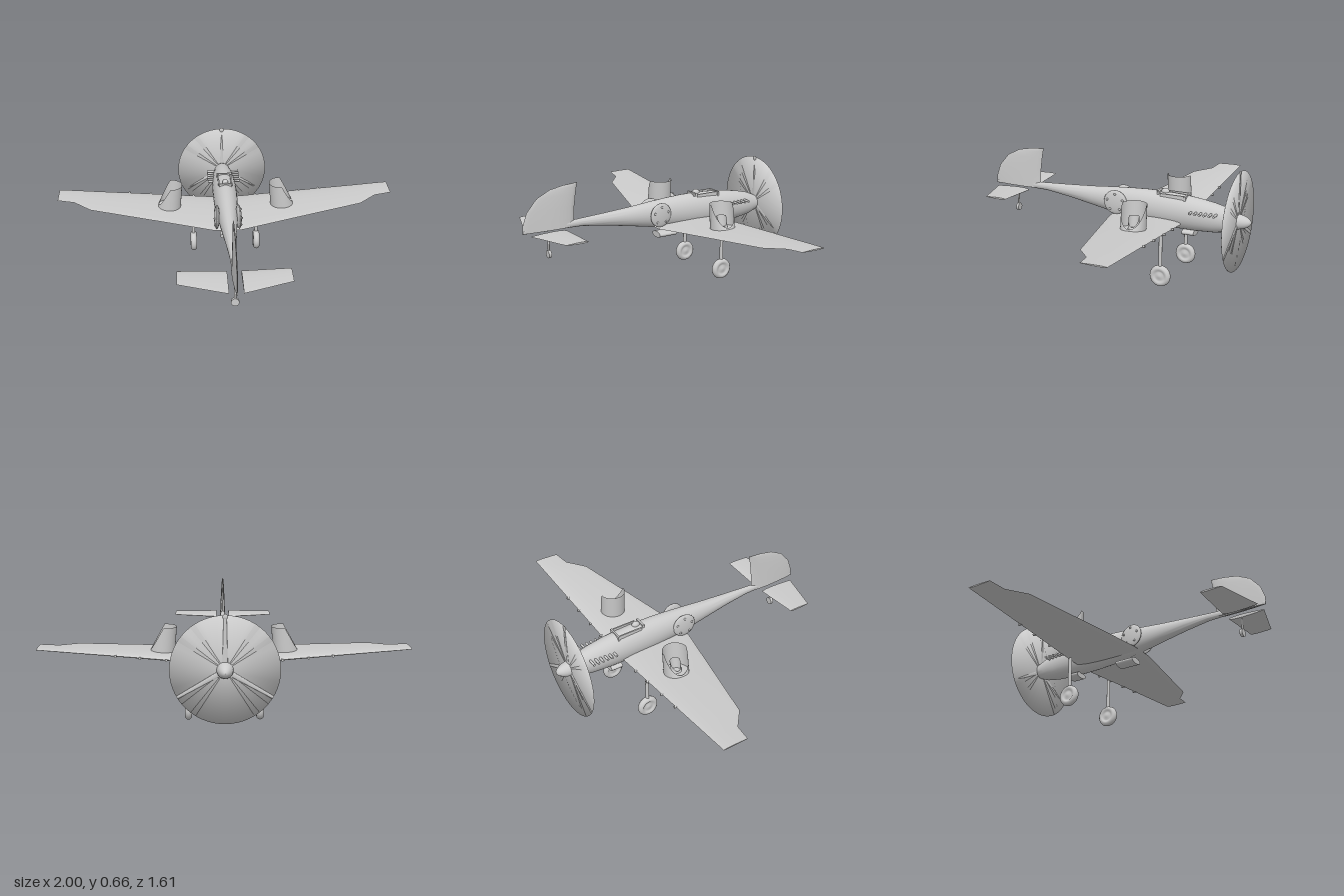
import * as THREE from 'three';
import { toCreasedNormals } from 'three/addons/utils/BufferGeometryUtils.js';

const material = new THREE.MeshStandardMaterial({ color: 0xcccccc });
const shellMaterial = new THREE.MeshStandardMaterial({ color: 0xcccccc, side: THREE.DoubleSide });

// Skin a row of equal closed rings and cap both ends.
function loft(rings) {
  const n = rings[0].length, pos = [], idx = [];
  rings.forEach(r => r.forEach(p => pos.push(...p)));
  for (let i = 0; i < rings.length - 1; i++) {
    for (let j = 0; j < n; j++) {
      const k = (j + 1) % n, a = i * n + j, b = i * n + k;
      idx.push(a, b, a + n, b, b + n, a + n);
    }
  }
  const last = (rings.length - 1) * n;
  for (let j = 1; j < n - 1; j++) {
    idx.push(0, j + 1, j, last, last + j, last + j + 1);
  }
  const g = new THREE.BufferGeometry();
  g.setAttribute('position', new THREE.Float32BufferAttribute(pos, 3));
  g.setIndex(idx);
  return toCreasedNormals(g, 0.6);
}

// Ring of (cos, sin) pairs passed through a placing rule.
const ring = (n, place) => Array.from({ length: n }, (_, i) => {
  const a = i / n * Math.PI * 2;
  return place(Math.cos(a), Math.sin(a));
});

// Streamlined section: chord position from s, half thickness from c.
const foil = (s, c) => {
  const u = (1 + s) / 2;
  return [c * (1.25 - 0.75 * u), u];
};

// Horizontal surface from stations [x, y, leading z, trailing z, thickness].
const wingGeometry = stations => loft(stations.map(([x, y, z0, z1, t]) =>
  ring(20, (c, s) => {
    const [h, u] = foil(s, c);
    return [x, y + h * t / 2, z0 + (z1 - z0) * u];
  })));

const lathe = (profile, n) => new THREE.LatheGeometry(profile.map(p => new THREE.Vector2(...p)), n);

export function createModel() {
  const model = new THREE.Group();
  const add = (name, geometry, x = 0, y = 0, z = 0, mat = material) => {
    const mesh = new THREE.Mesh(geometry, mat);
    mesh.name = name;
    mesh.position.set(x, y, z);
    model.add(mesh);
    return mesh;
  };

  // Fuselage stations: z, bottom, top, half width
  const body = [
    [-0.735, 0.325, 0.412, 0.043], [-0.68, 0.303, 0.437, 0.053], [-0.6, 0.29, 0.457, 0.063],
    [-0.5, 0.285, 0.473, 0.07], [-0.4, 0.285, 0.482, 0.073], [-0.3, 0.288, 0.487, 0.072],
    [-0.2, 0.295, 0.487, 0.069], [-0.1, 0.308, 0.482, 0.063], [0, 0.323, 0.475, 0.055],
    [0.15, 0.352, 0.462, 0.042], [0.3, 0.379, 0.453, 0.029], [0.45, 0.4, 0.445, 0.018],
    [0.6, 0.403, 0.437, 0.011], [0.8, 0.405, 0.425, 0.004],
  ];
  add('fuselage', loft(body.map(([z, b, t, w]) =>
    ring(28, (c, s) => [w * c, (b + t) / 2 + (t - b) / 2 * s, z]))));

  // Spinner, softly shaded propeller disc and three blades
  const spinner = [[0.043, 0], [0.039, 0.022], [0.031, 0.044], [0.02, 0.062], [0.01, 0.071], [0, 0.074]];
  add('spinner', lathe(spinner, 28), 0, 0.37, -0.735).rotation.x = -Math.PI / 2;
  const disc = toCreasedNormals(new THREE.CylinderGeometry(0.28, 0.28, 0.003, 56), Math.PI);
  add('propellerDisc', disc, 0, 0.37, -0.735).rotation.x = Math.PI / 2;
  for (let i = 0; i < 3; i++) {
    const blade = new THREE.CylinderGeometry(0.007, 0.014, 0.28, 12);
    blade.scale(1.1, 1, 0.32).translate(0, 0.14, 0);
    add('propellerBlade', blade, 0, 0.37, -0.736).rotation.z = i * Math.PI * 2 / 3;
  }
  add('bladeTip', new THREE.SphereGeometry(0.014, 14, 10), 0, 0.642, -0.735).scale.z = 0.35;

  // Main wing with dihedral, built tip to tip
  const half = [
    [1, 0.405, -0.425, -0.28, 0.008], [0.9, 0.397, -0.425, -0.265, 0.014],
    [0.8, 0.389, -0.425, -0.18, 0.018], [0.4, 0.357, -0.425, -0.08, 0.03],
    [0.08, 0.33, -0.425, 0, 0.04],
  ];
  const mirrored = half.map(([x, ...rest]) => [-x, ...rest]);
  add('wing', wingGeometry([...mirrored, ...half.slice().reverse()]));

  // Tail surfaces
  const tail = [[0.038, 0.398, 0.555, 0.77, 0.02], [0.3, 0.41, 0.56, 0.69, 0.01]];
  add('leftTailplane', wingGeometry(tail));
  add('rightTailplane', wingGeometry(tail.map(([x, ...r]) => [-x, ...r]).reverse()));
  const fin = [
    [0.407, 0.495, 0.8, 0.034], [0.45, 0.497, 0.8, 0.03], [0.52, 0.492, 0.775, 0.024],
    [0.59, 0.483, 0.715, 0.017], [0.63, 0.476, 0.635, 0.011], [0.645, 0.472, 0.555, 0.008],
    [0.651, 0.47, 0.485, 0.004],
  ];
  add('fin', loft(fin.map(([y, z0, z1, t]) => ring(20, (c, s) => {
    const [h, u] = foil(c, s);
    return [h * t / 2, y, z0 + (z1 - z0) * u];
  }))));

  // Cockpit: sill rails, windscreen, seat back and pilot's head
  for (const side of [-1, 1]) {
    add('cockpitRail', new THREE.BoxGeometry(0.008, 0.022, 0.14), side * 0.038, 0.473, -0.36);
  }
  add('windscreen', new THREE.BoxGeometry(0.09, 0.03, 0.01), 0, 0.469, -0.437);
  add('seatBack', new THREE.BoxGeometry(0.07, 0.03, 0.012), 0, 0.478, -0.275);
  add('pilotHead', new THREE.SphereGeometry(0.02, 16, 12), 0, 0.487, -0.305).scale.set(0.9, 1, 1.2);

  // Slanted tub on each wing: wall height falls away on the outer side
  const tub = (side, r, trim) => {
    const g = new THREE.CylinderGeometry(r, r, 1, 32, 6, true);
    const p = g.attributes.position;
    for (let i = 0; i < p.count; i++) {
      const t = p.getY(i) + 0.5, out = p.getX(i) * side;
      const top = Math.min(0.5, 0.5 - out * 1.75) - trim;
      const floor = 0.352 + out * 0.08;
      p.setY(i, floor + (top - floor) * t);
      p.setX(i, p.getX(i) - side * 0.012 * t);
    }
    g.computeVertexNormals();
    return g;
  };

  // Tyre with a recessed rim and a raised hub
  const wheel = [[0, -0.017], [0.012, -0.016], [0.022, -0.011], [0.032, -0.013], [0.038, -0.019],
    [0.049, -0.019], [0.058, -0.01], [0.061, 0], [0.058, 0.01], [0.049, 0.019], [0.038, 0.019],
    [0.032, 0.013], [0.022, 0.011], [0.012, 0.016], [0, 0.017]];

  for (const side of [-1, 1]) {
    add('wingTub', tub(side, 0.07, 0), side * 0.34, 0, -0.26, shellMaterial);
    add('wingTubCore', tub(side, 0.03, 0.07), side * 0.34, 0, -0.26, shellMaterial);

    // Domed round plate on the fuselage flank, with a ring of studs
    const plate = new THREE.Group();
    plate.name = 'flankPlate';
    plate.position.set(side * 0.063, 0.405, -0.025);
    plate.rotation.y = side * 0.06;
    const dome = new THREE.SphereGeometry(0.07, 28, 16);
    dome.scale(0.22, 1, 1);
    plate.add(new THREE.Mesh(dome, material));
    for (let i = 0; i < 5; i++) {
      const a = Math.PI / 2 + i * Math.PI * 2 / 5;
      const stud = new THREE.Mesh(new THREE.SphereGeometry(0.007, 8, 6), material);
      stud.position.set(side * 0.011, 0.048 * Math.sin(a), 0.048 * Math.cos(a));
      plate.add(stud);
    }
    model.add(plate);

    // Exhaust stubs
    for (let i = 0; i < 6; i++) {
      add('exhaustStub', new THREE.CylinderGeometry(0.007, 0.007, 0.05, 10),
        side * 0.073, 0.407, -0.485 - i * 0.028).rotation.z = Math.PI / 2;
    }

    // Gun barrels in the leading edge
    for (const x of [0.19, 0.31, 0.45, 0.58]) {
      add('gunBarrel', new THREE.CylinderGeometry(0.007, 0.007, 0.03, 10),
        side * x, 0.322 + x * 0.083, -0.418).rotation.x = Math.PI / 2;
    }

    // Main landing gear
    add('gearStrut', new THREE.CylinderGeometry(0.01, 0.01, 0.23, 14), side * 0.195, 0.18, -0.36);
    add('wheel', lathe(wheel, 32), side * 0.195, 0.061, -0.36).rotation.z = Math.PI / 2;
  }

  // Flattened belly pods
  for (const [z, length] of [[-0.09, 0.115], [-0.457, 0.07]]) {
    const pod = new THREE.CylinderGeometry(0.018, 0.018, length, 24);
    pod.rotateX(Math.PI / 2).scale(2.4, 1, 1);
    add('bellyPod', pod, 0, 0.273, z);
  }

  // Tail wheel, turned across the fuselage
  add('tailStrut', new THREE.CylinderGeometry(0.006, 0.006, 0.085, 10), 0, 0.314, 0.652);
  add('tailWheel', new THREE.CylinderGeometry(0.022, 0.022, 0.016, 20), 0, 0.271, 0.652).rotation.x = Math.PI / 2;

  return model;
}
